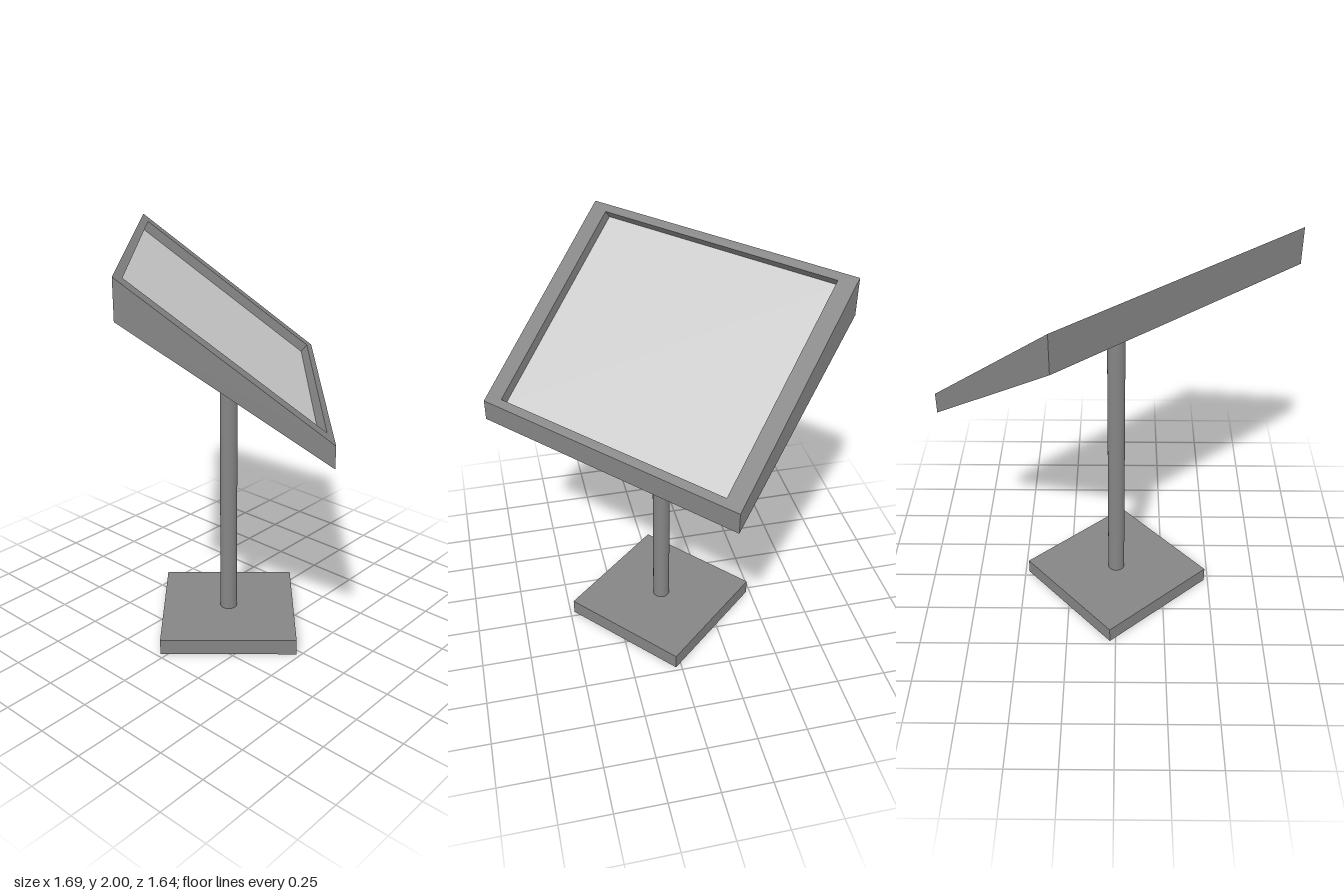
import * as THREE from 'three';

const HALF_W = 0.728, HALF_D = 0.45;   // panel plan half sizes
const OPEN_W = 0.64, OPEN_D = 0.419;   // screen opening half sizes
const RECESS = 0.047;                  // recess depth, square to the sloping face

// Sloping surface heights at a given depth z
const faceY = z => 1.645 - 0.355 * z / HALF_D;
const backY = z => 1.5025 - 0.3175 * z / HALF_D;

// Four corners, counter-clockwise seen from above
function ring(w, d, heightAt, shiftZ = 0, shiftY = 0) {
  return [[-w, d], [w, d], [w, -d], [-w, -d]]
    .map(([x, z]) => [x, heightAt(z) + shiftY, z + shiftZ]);
}

function flatGeometry(triangles) {
  const geometry = new THREE.BufferGeometry();
  geometry.setAttribute('position', new THREE.Float32BufferAttribute(triangles.flat(2), 3));
  geometry.computeVertexNormals();
  return geometry;
}

export function createModel() {
  const group = new THREE.Group();
  const frameMaterial = new THREE.MeshStandardMaterial({ color: 0x858585 });
  const screenMaterial = new THREE.MeshStandardMaterial({ color: 0xcccccc });

  const add = (name, geometry, material, y = 0) => {
    const mesh = new THREE.Mesh(geometry, material);
    mesh.name = name;
    mesh.position.y = y;
    group.add(mesh);
  };

  // Square foot and round post
  add('base', new THREE.BoxGeometry(0.68, 0.08, 0.68), frameMaterial, 0.04);
  add('post', new THREE.CylinderGeometry(0.043, 0.043, 1.48, 32), frameMaterial, 0.8);

  // Tilted panel housing: underside, upright sides, rim and recess walls
  const angle = Math.atan2(0.355, HALF_D);
  const floor = ring(OPEN_W, OPEN_D, faceY, -RECESS * Math.sin(angle), -RECESS * Math.cos(angle));
  const rings = [
    ring(HALF_W, HALF_D, backY),
    ring(HALF_W, HALF_D, faceY),
    ring(OPEN_W, OPEN_D, faceY),
    floor,
  ];
  const [p, q, r, s] = rings[0];
  const triangles = [[p, r, q], [p, s, r]];
  for (let k = 0; k < 3; k++) {
    const a = rings[k], b = rings[k + 1];
    for (let i = 0; i < 4; i++) {
      const j = (i + 1) % 4;
      triangles.push([a[i], a[j], b[j]], [a[i], b[j], b[i]]);
    }
  }
  add('panelFrame', flatGeometry(triangles), frameMaterial);

  // Sunken screen
  add('screen', flatGeometry([
    [floor[0], floor[1], floor[2]],
    [floor[0], floor[2], floor[3]],
  ]), screenMaterial);

  // The whole stand is turned about its post
  group.rotation.y = THREE.MathUtils.degToRad(41.5);
  const model = new THREE.Group();
  model.name = 'displayStand';
  group.name = 'turnedStand';
  model.add(group);
  return model;
}
